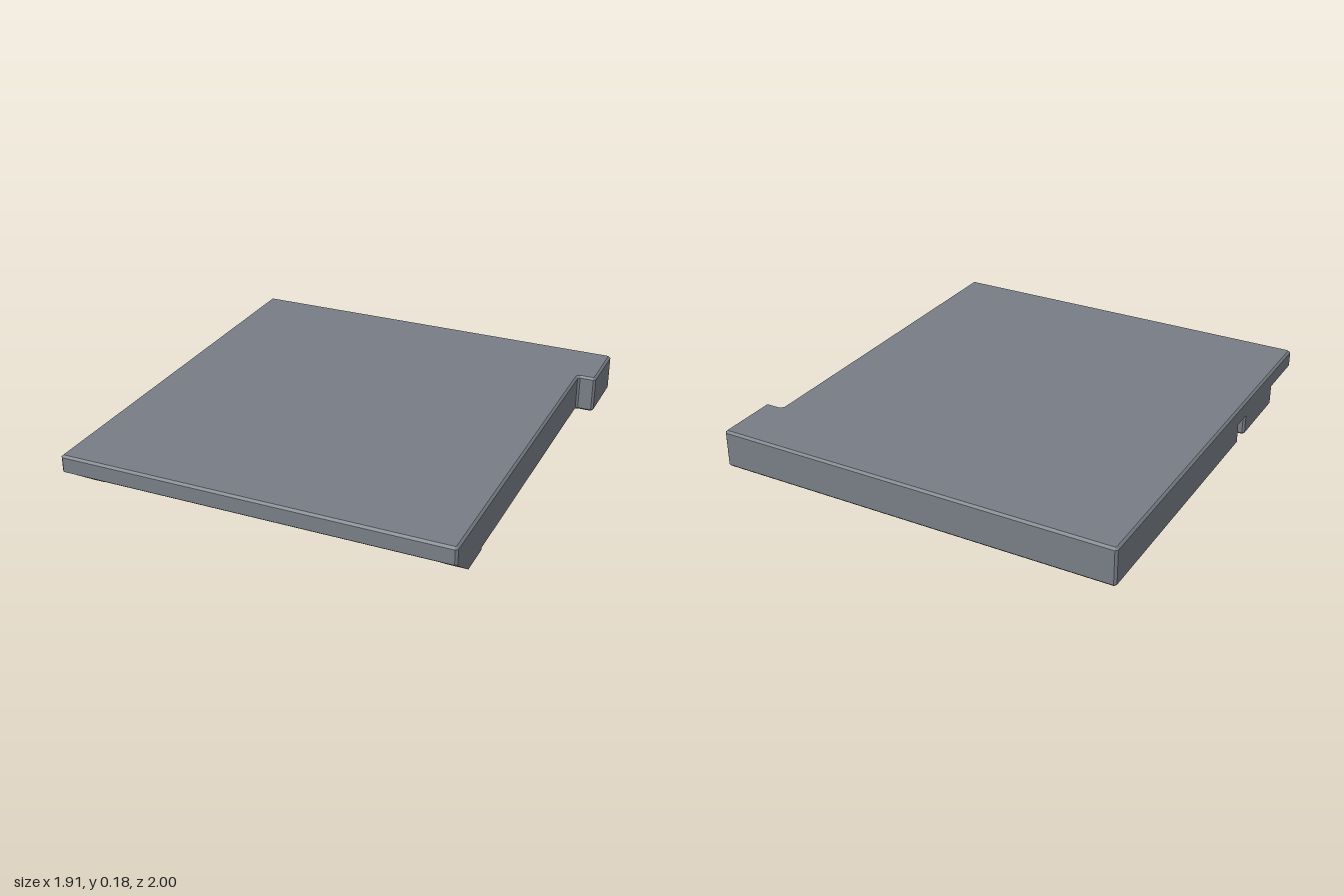
import * as THREE from 'three';

const BEVEL = 0.01;

// Cuts every corner of a plan outline at 45 degrees
function cutCorners(points, size) {
  const toward = (p, q) => p.clone().add(q.clone().sub(p).setLength(size));
  const n = points.length;
  return points.flatMap((p, i) => [
    toward(p, points[(i + n - 1) % n]),
    toward(p, points[(i + 1) % n]),
  ]);
}

// Moves an outline inward by a mitred distance
function insetOutline(points, distance) {
  const n = points.length;
  const inward = (a, b) => new THREE.Vector2(a.y - b.y, b.x - a.x).normalize();
  return points.map((p, i) => {
    const n1 = inward(points[(i + n - 1) % n], p);
    const n2 = inward(p, points[(i + 1) % n]);
    return p.clone().addScaledVector(n1.clone().add(n2), distance / (1 + n1.dot(n2)));
  });
}

// Capped solid from a plan outline of [x, z] and layers of [y, inset]
function slab(plan, layers) {
  const outline = cutCorners(plan.map(([x, z]) => new THREE.Vector2(x, z)), BEVEL);
  const rings = layers.map(([y, inset]) =>
    insetOutline(outline, inset).map((p) => [p.x, y, p.y]));
  const n = outline.length;
  const positions = [];
  const tri = (a, b, c) => positions.push(...a, ...b, ...c);
  for (let k = 0; k + 1 < rings.length; k++) {
    const low = rings[k], high = rings[k + 1];
    for (let i = 0; i < n; i++) {
      const j = (i + 1) % n;
      tri(low[i], high[i], low[j]);
      tri(low[j], high[i], high[j]);
    }
  }
  const bottom = rings[0], top = rings[rings.length - 1];
  for (const [a, b, c] of THREE.ShapeUtils.triangulateShape(outline, [])) {
    tri(bottom[a], bottom[b], bottom[c]);
    tri(top[a], top[c], top[b]);
  }
  const geometry = new THREE.BufferGeometry();
  geometry.setAttribute('position', new THREE.Float32BufferAttribute(positions, 3));
  geometry.computeVertexNormals();
  return geometry;
}

// Side profile of [z, y] extruded from x0 to x1
function sideProfile(profile, x0, x1) {
  const shape = new THREE.Shape(profile.map(([z, y]) => new THREE.Vector2(z, y)));
  return new THREE.ExtrudeGeometry(shape, { depth: x1 - x0, bevelEnabled: false })
    .rotateY(-Math.PI / 2)
    .translate(x1, 0, 0);
}

export function createModel() {
  const group = new THREE.Group();
  const grey = new THREE.MeshStandardMaterial({ color: 0x787d85 });
  grey.name = 'slate grey';
  const add = (name, geometry) => {
    const mesh = new THREE.Mesh(geometry, grey);
    mesh.name = name;
    group.add(mesh);
  };

  // Upper half of the case, with the stepped tab at the back
  add('upperShell', slab(
    [[-0.96, -1], [0.955, -1], [0.955, -0.7], [0.87, -0.7], [0.87, 1], [-0.96, 1]],
    [[0.1, 0], [0.18 - BEVEL, 0], [0.18, BEVEL]],
  ));

  // Lower half: open recess at the front, small locating notch in one side
  add('lowerShell', slab(
    [
      [-0.96, -1], [0.955, -1], [0.955, -0.7], [0.87, -0.7], [0.87, 0.74],
      [0.78, 0.74], [0.78, 0.54], [-0.84, 0.54], [-0.84, 0.74], [-0.96, 0.74],
      [-0.96, 0.38], [-0.9, 0.38], [-0.9, 0.3], [-0.96, 0.3],
    ],
    [[0, BEVEL], [BEVEL, 0], [0.1, 0]],
  ));

  // Sloped rails on both sides of the recess
  const rail = [[0.7, 0], [0.86, 0], [1, 0.1], [0.7, 0.1]];
  add('leftRail', sideProfile(rail, 0.78, 0.87));
  add('rightRail', sideProfile(rail, -0.9, -0.84));

  // Raised floor of the recess, with a sloped front lip
  add('recessFloor', sideProfile(
    [[0.5, 0.06], [0.944, 0.06], [1, 0.1], [0.5, 0.1]], -0.84, 0.78));

  return group;
}
